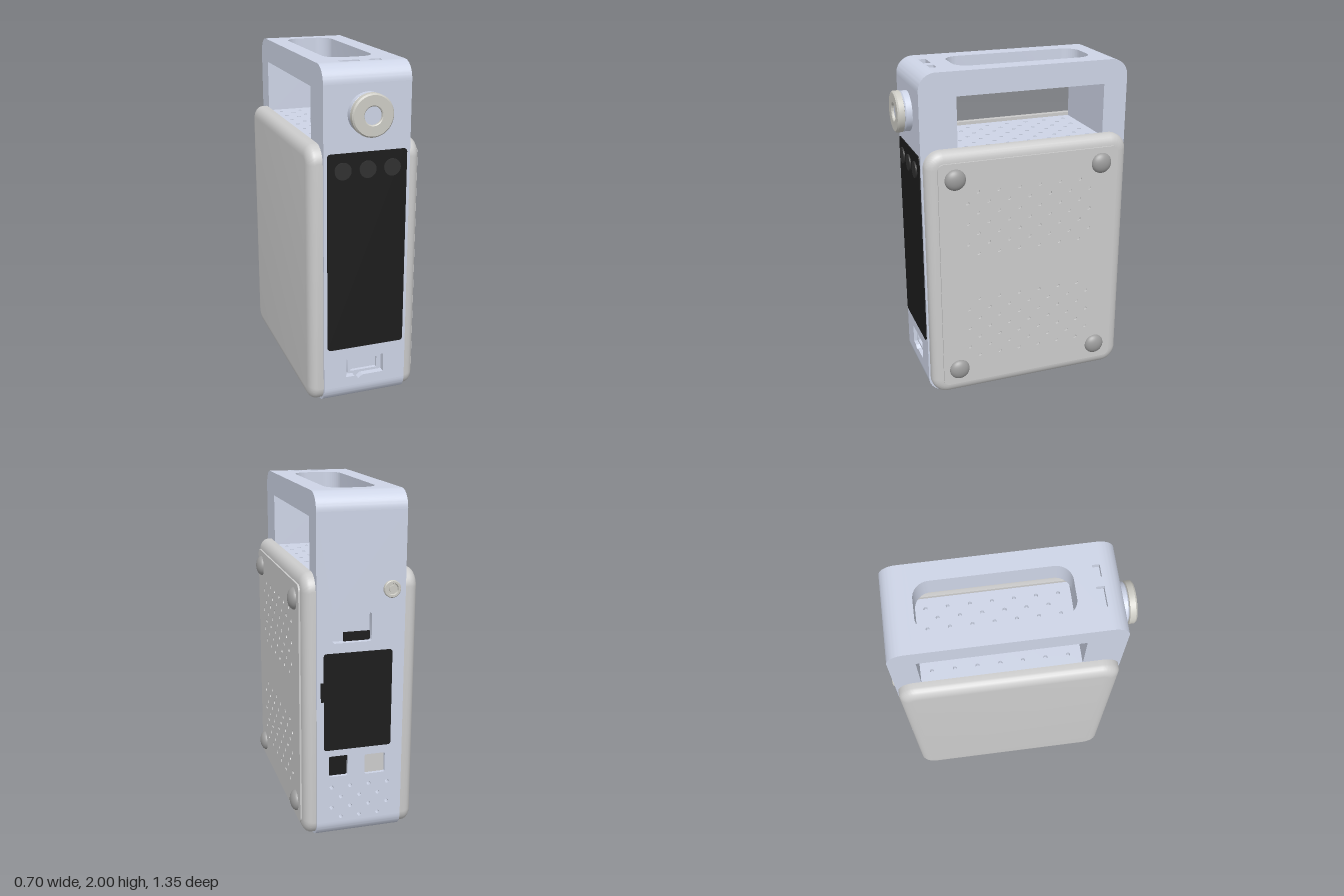
import * as THREE from 'three';
import { toCreasedNormals } from 'three/addons/utils/BufferGeometryUtils.js';

const CX = -0.02; // middle of the core across its width
const HALF = 0.25; // half width of the core
const PI = Math.PI;

const mat = (color) => new THREE.MeshStandardMaterial({ color });

// Rounded rectangle drawn on a Shape or Path
function rect(x0, y0, x1, y1, r = 0, Type = THREE.Shape) {
  const p = new Type();
  if (r === 0) {
    p.moveTo(x0, y0).lineTo(x1, y0).lineTo(x1, y1).lineTo(x0, y1).closePath();
    return p;
  }
  p.absarc(x1 - r, y0 + r, r, -PI / 2, 0, false);
  p.absarc(x1 - r, y1 - r, r, 0, PI / 2, false);
  p.absarc(x0 + r, y1 - r, r, PI / 2, PI, false);
  p.absarc(x0 + r, y0 + r, r, PI, 1.5 * PI, false);
  p.closePath();
  return p;
}
const hole = (x0, y0, x1, y1, r = 0) => rect(x0, y0, x1, y1, r, THREE.Path);

// Staggered rows of small vent holes
function vents(rows, y0, stepY, oddCount, evenCount, xMid, stepX) {
  const holes = [];
  for (let j = 0; j < rows; j++) {
    const n = j % 2 ? evenCount : oddCount;
    for (let i = 0; i < n; i++) {
      const x = xMid + (i - (n - 1) / 2) * stepX, y = y0 + j * stepY;
      const pts = [];
      for (let k = 0; k < 8; k++) {
        const t = (k + 0.5) * PI / 4;
        pts.push(new THREE.Vector2(x + 0.012 * Math.cos(t), y + 0.012 * Math.sin(t)));
      }
      holes.push(new THREE.Path(pts));
    }
  }
  return holes;
}

function extrude(shape, depth, holes = []) {
  shape.holes.push(...holes);
  return toCreasedNormals(
    new THREE.ExtrudeGeometry(shape, { depth, bevelEnabled: false, curveSegments: 10 }), 0.5);
}

export function createModel() {
  const model = new THREE.Group();
  const shellMat = mat(0xcdd4e6), greyMat = mat(0xcccccc);
  const blackMat = mat(0x1c1c1c), knobMat = mat(0xcccbc4), footMat = mat(0x9c9c9c);

  function add(name, geo, material, x = 0, y = 0, z = 0) {
    const m = new THREE.Mesh(geo, material);
    m.name = name;
    m.position.set(x, y, z);
    model.add(m);
    return m;
  }
  const box = (name, material, x0, x1, y0, y1, z0, z1) =>
    add(name, new THREE.BoxGeometry(x1 - x0, y1 - y0, z1 - z0), material,
      (x0 + x1) / 2, (y0 + y1) / 2, (z0 + z1) / 2);

  // Core with two posts: side outline (-z, y), stepped back where the plates sit
  const core = new THREE.Shape();
  core.moveTo(-0.49, 0.02).lineTo(-0.49, 0.05).lineTo(0.56, 0.05).lineTo(0.56, 0.02);
  core.absarc(0.56, 0.12, 0.1, -PI / 2, 0, false);
  core.lineTo(0.62, 0.12).lineTo(0.62, 1.9).lineTo(0.66, 1.9);
  core.absarc(0.56, 1.9, 0.1, 0, PI / 2, false);
  core.lineTo(0.515, 2).lineTo(0.515, 1.52).lineTo(-0.375, 1.52);
  core.lineTo(-0.375, 1.97).lineTo(-0.49, 1.97).lineTo(-0.49, 2);
  core.absarc(-0.49, 1.9, 0.1, PI / 2, PI, false);
  core.lineTo(-0.55, 1.9).lineTo(-0.55, 0.12).lineTo(-0.59, 0.12);
  core.absarc(-0.49, 0.12, 0.1, PI, 1.5 * PI, false);
  add('core', extrude(core, 2 * HALF).rotateY(PI / 2), shellMat, CX - HALF);

  // Handle bar with hand slot and two small top sockets, drawn as (x, -z)
  const x0 = CX - HALF, x1 = CX + HALF;
  add('handle', extrude(rect(x0, -0.49, x1, 0.515), 0.14, [
    hole(-0.165, -0.34, 0.12, 0.49, 0.09),
    hole(-0.14, -0.488, -0.025, -0.445),
    hole(0.03, -0.485, 0.1, -0.445),
  ]).rotateX(-PI / 2), shellMat, 0, 1.86);

  // Vented floor under the handle
  add('ventedTop', extrude(rect(x0, -0.375, x1, 0.515), 0.03,
    vents(13, -0.303, 0.0628, 4, 3, CX, 0.125)).rotateX(-PI / 2), shellMat, 0, 1.52);

  // Vented underside, drawn as (x, z)
  add('ventedBottom', extrude(rect(x0, -0.56, x1, 0.49), 0.03,
    vents(15, -0.475, 0.0628, 4, 3, CX, 0.125)).rotateX(PI / 2), shellMat, 0, 0.05);

  // Front plate with a notched port recess
  const port = new THREE.Path();
  port.moveTo(-0.135, 0.18).lineTo(-0.085, 0.18).lineTo(-0.06, 0.16).lineTo(-0.035, 0.18);
  port.lineTo(0.095, 0.18).lineTo(0.095, 0.295).lineTo(-0.135, 0.295).closePath();
  add('frontPlate', extrude(rect(x0, 0.12, x1, 1.9), 0.04, [port]), shellMat, 0, 0, 0.55);
  add('frontPortRim', extrude(rect(-0.12, 0.19, 0.08, 0.285, 0.01), 0.02,
    [hole(-0.1, 0.205, 0.06, 0.275)]), shellMat, 0, 0, 0.55);

  // Back plate with sockets and vents, drawn as (-x, y)
  add('backPlate', extrude(rect(-x1, 0.12, -x0, 1.9), 0.04, [
    hole(-0.14, 1.19, 0.08, 1.35, 0.012),
    hole(-0.16, 0.405, -0.05, 0.53, 0.008),
    hole(0.05, 0.4, 0.17, 0.52, 0.008),
    ...vents(4, 0.15, 0.063, 3, 4, -CX, 0.11),
  ]).rotateY(PI), shellMat, 0, 0, -0.62);
  box('backSocketBlock', shellMat, -0.02, 0.14, 1.25, 1.35, -0.64, -0.62);
  box('backSocketInside', blackMat, -0.08, 0.07, 1.19, 1.24, -0.63, -0.62);
  box('backSquarePort', blackMat, 0.05, 0.16, 0.405, 0.53, -0.64, -0.62);
  box('backLightPort', greyMat, -0.17, -0.05, 0.4, 0.52, -0.64, -0.62);

  // Black panels front and back
  add('frontScreen', extrude(rect(-0.25, 0.37, 0.21, 1.53, 0.02), 0.006), blackMat, 0, 0, 0.59);
  add('backScreen', extrude(rect(-0.19, 0.57, 0.2, 1.135, 0.015), 0.005).rotateY(PI),
    blackMat, 0, 0, -0.66);
  box('backScreenTab', blackMat, 0.18, 0.207, 0.86, 0.97, -0.665, -0.655);

  // Three round buttons on the front screen
  const buttonGeo = new THREE.CylinderGeometry(0.048, 0.048, 0.012, 32).rotateX(PI / 2);
  for (const x of [-0.163, CX, 0.122]) add('button', buttonGeo, mat(0x303030), x, 1.433, 0.599);

  // Turned parts along z
  const turned = (pts) => toCreasedNormals(new THREE.LatheGeometry(
    pts.map(([r, h]) => new THREE.Vector2(r, h)), 48).rotateX(PI / 2), 0.5);

  // Knob
  add('knobNeck', turned([[0.115, 0], [0.115, 0.034], [0.105, 0.042], [0, 0.042]]),
    shellMat, CX, 1.74, 0.59);
  add('knob', turned([[0.105, 0.04], [0.118, 0.044], [0.118, 0.075], [0.11, 0.084],
    [0.055, 0.084], [0.05, 0.08], [0.05, 0.04]]), knobMat, CX, 1.74, 0.59);
  add('knobCentre', turned([[0.05, 0.04], [0.05, 0.068], [0, 0.068]]), shellMat, CX, 1.74, 0.59);

  // Round jack on the back
  const jack = add('backJack', turned([[0.048, 0], [0.048, 0.013], [0.044, 0.017], [0.033, 0.017],
    [0.03, 0.006], [0.018, 0.006], [0.018, 0.014], [0, 0.014]]), knobMat, -0.19, 1.475, -0.66);
  jack.rotation.y = PI;

  // Side covers with a rounded rim, flat where they meet the core
  function cover(depth) {
    const size = 0.065, rim = 0.05;
    const geo = new THREE.ExtrudeGeometry(rect(-0.615, 0.03, 0.615, 1.57, 0.1), {
      depth: depth - rim, bevelThickness: rim, bevelSize: size, bevelOffset: -size,
      bevelSegments: 6, curveSegments: 10,
    });
    const p = geo.attributes.position;
    for (let i = 0; i < p.count; i++) p.setZ(i, Math.max(0, p.getZ(i)));
    return toCreasedNormals(geo, 0.6);
  }
  add('plainCover', cover(0.08).rotateY(-PI / 2), greyMat, x0, 0, -0.035);
  add('ventedCover', cover(0.07).rotateY(PI / 2), greyMat, x1, 0, -0.035);
  add('ventedCoverFace', extrude(rect(-0.55, 0.095, 0.55, 1.505, 0.035), 0.012, [
    ...vents(7, 0.947, 0.0633, 6, 7, -0.006, 0.126),
    ...vents(7, 0.273, 0.0633, 6, 7, -0.006, 0.126),
  ]).rotateY(PI / 2), greyMat, x1 + 0.068, 0, -0.035);

  // Domed feet on the vented cover, and small studs underneath
  const dome = new THREE.SphereGeometry(0.062, 32, 10, 0, 2 * PI, 0, PI / 2)
    .scale(1, 0.6, 1).rotateZ(-PI / 2);
  for (const y of [0.195, 1.41]) for (const z of [-0.478, 0.417]) add('sideFoot', dome, footMat, 0.308, y, z);
  const stud = new THREE.CylinderGeometry(0.012, 0.01, 0.02, 16);
  for (const x of [-0.205, 0.165]) for (const z of [-0.47, 0.4]) add('stud', stud, shellMat, x, 0.01, z);

  return model;
}
